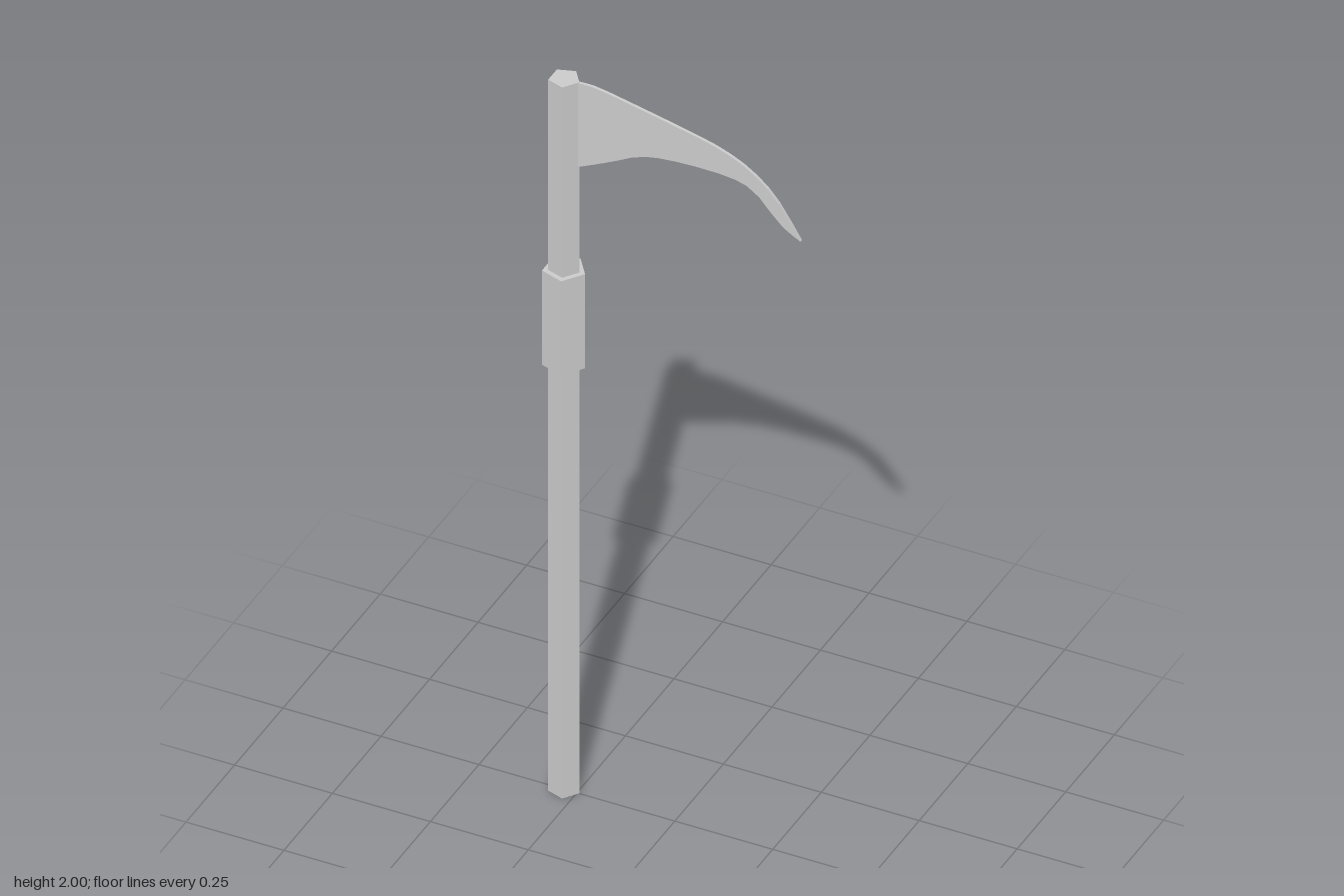
import * as THREE from 'three';

const AXIS_X = -0.282;

export function createModel() {
  const group = new THREE.Group();
  const material = new THREE.MeshStandardMaterial({ color: 0xcccccc, flatShading: true });

  const add = (name, geometry) => {
    const mesh = new THREE.Mesh(geometry, material);
    mesh.name = name;
    group.add(mesh);
  };

  // Five-sided prism with one edge pointing toward the blade
  const prism = (radius, bottom, top) =>
    new THREE.CylinderGeometry(radius, radius, top - bottom, 5, 1, false, Math.PI / 2)
      .translate(AXIS_X, (bottom + top) / 2, -0.001);

  add('shaft', prism(0.038, 0, 2));
  add('gripSleeve', prism(0.0525, 1.2, 1.465));

  // Curved blade: upper back to the tip, then the cutting edge back to the shaft
  const outline = new THREE.Shape();
  outline.moveTo(-0.25, 1.762);
  outline.splineThru([
    [-0.225, 1.773], [-0.16, 1.805], [-0.085, 1.843], [0, 1.857],
    [0.125, 1.858], [0.2, 1.838], [0.27, 1.765], [0.322, 1.733],
  ].map(([x, y]) => new THREE.Vector2(x, y)));
  outline.splineThru([
    [0.258, 1.832], [0.19, 1.892], [0.11, 1.929], [0.01, 1.954],
    [-0.1, 1.978], [-0.2, 1.998], [-0.25, 1.998],
  ].map(([x, y]) => new THREE.Vector2(x, y)));
  const blade = new THREE.ExtrudeGeometry(outline, { depth: 0.008, bevelEnabled: false, curveSegments: 2 });
  add('blade', blade.translate(0, 0, -0.006));

  return group;
}
